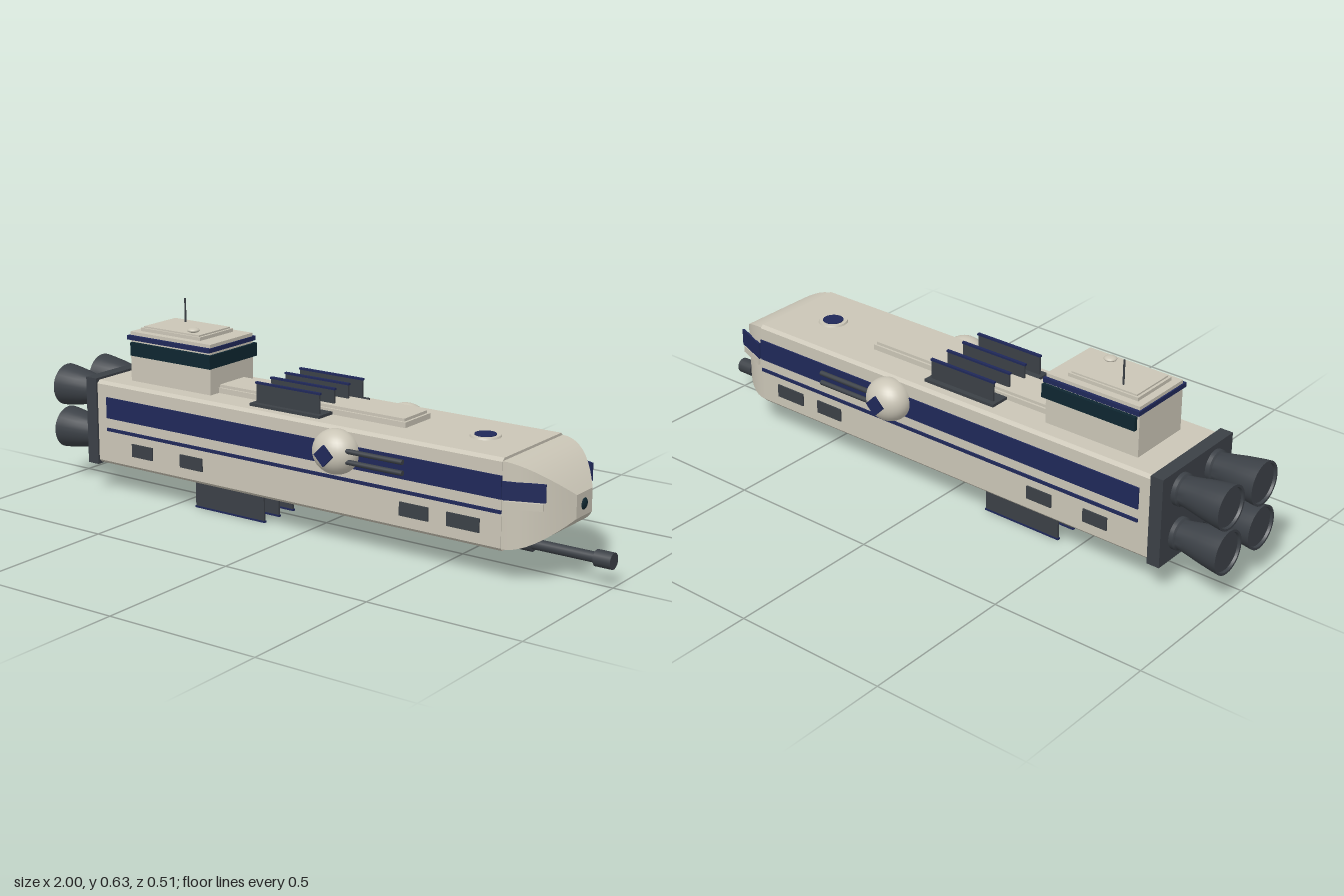
import * as THREE from 'three';
import { toCreasedNormals } from 'three/addons/utils/BufferGeometryUtils.js';

const mat = (name, color, side = THREE.FrontSide) => {
  const m = new THREE.MeshStandardMaterial({ color, side });
  m.name = name;
  return m;
};

export function createModel() {
  const hullMat = mat('warm grey hull', 0xcac5b6);
  const darkMat = mat('dark metal', 0x3b4046);
  const blueMat = mat('navy trim', 0x1f2859);
  const glassMat = mat('dark glass', 0x0e2630);
  const ship = new THREE.Group();
  ship.name = 'spaceship';

  const add = (name, geo, material, x = 0, y = 0, z = 0) => {
    const m = new THREE.Mesh(geo, material);
    m.name = name;
    m.position.set(x, y, z);
    ship.add(m);
    return m;
  };
  // Box given by its limits on each axis
  const box = (name, material, x0, x1, y0, y1, z0, z1) =>
    add(name, new THREE.BoxGeometry(x1 - x0, y1 - y0, z1 - z0), material,
      (x0 + x1) / 2, (y0 + y1) / 2, (z0 + z1) / 2);
  // Cylinder lying along x
  const rod = (name, material, x0, x1, y, z, r, sides = 20) =>
    add(name, new THREE.CylinderGeometry(r, r, x1 - x0, sides).rotateZ(-Math.PI / 2), material, (x0 + x1) / 2, y, z);

  // Main hull: chamfered rectangle extruded lengthwise
  const c = 0.01, hw = 0.17, y0 = 0.1, y1 = 0.375;
  const section = new THREE.Shape([
    [-hw + c, y0], [hw - c, y0], [hw, y0 + c], [hw, y1 - c],
    [hw - c, y1], [-hw + c, y1], [-hw, y1 - c], [-hw, y0 + c],
  ].map(([a, b]) => new THREE.Vector2(a, b)));
  const hullGeo = new THREE.ExtrudeGeometry(section, { depth: 1.53, bevelEnabled: false });
  add('hull', hullGeo.rotateY(Math.PI / 2), hullMat, -0.8);

  // Nose: rectangular sections shrinking along a parabola
  const steps = 10, rings = [];
  for (let i = 0; i <= steps; i++) {
    const t = i / steps, k = t * t, x = 0.73 + 0.17 * t;
    const w = THREE.MathUtils.lerp(0.168, 0.045, k);
    const lo = THREE.MathUtils.lerp(0.108, 0.197, k), hi = THREE.MathUtils.lerp(0.367, 0.268, k);
    rings.push([[x, lo, w], [x, lo, -w], [x, hi, -w], [x, hi, w]]);
  }
  const pos = [];
  const quad = (a, b, d, e) => pos.push(...a, ...b, ...d, ...a, ...d, ...e);
  for (let i = 0; i < steps; i++) {
    for (let j = 0; j < 4; j++) {
      const n = (j + 1) % 4;
      quad(rings[i][j], rings[i][n], rings[i + 1][n], rings[i + 1][j]);
    }
  }
  quad(...rings[steps]);
  const noseGeo = new THREE.BufferGeometry();
  noseGeo.setAttribute('position', new THREE.Float32BufferAttribute(pos, 3));
  add('nose', toCreasedNormals(noseGeo, 0.6), hullMat);
  add('noseSensor', new THREE.SphereGeometry(0.027, 24, 16), glassMat, 0.88, 0.232, 0);

  for (const s of [1, -1]) {
    const side = s > 0 ? 'left' : 'right';
    // Side stripes and vents
    const strip = (name, m, xa, xb, ya, yb) => {
      add(name, new THREE.BoxGeometry(xb - xa, yb - ya, 0.008), m, (xa + xb) / 2, (ya + yb) / 2, s * 0.171);
    };
    strip(side + 'WideStripe', blueMat, -0.75, 0.73, 0.256, 0.325);
    strip(side + 'ThinStripe', blueMat, -0.75, 0.73, 0.213, 0.223);
    for (const [a, b] of [[-0.645, -0.56], [-0.445, -0.355], [0.387, 0.487], [0.55, 0.66]]) {
      strip(side + 'Vent', darkMat, a, b, 0.144, 0.186);
    }
    // Angled plates beside the nose
    const cheek = add(side + 'CheekPanel', new THREE.BoxGeometry(0.125, 0.054, 0.007), blueMat, 0.792, 0.284, s * 0.154);
    const lip = add(side + 'CheekLip', new THREE.BoxGeometry(0.11, 0.022, 0.007), hullMat, 0.792, 0.243, s * 0.154);
    cheek.rotation.y = lip.rotation.y = s * 0.36;

    // Side turret with twin guns and a diamond cap
    add(side + 'Turret', new THREE.SphereGeometry(1, 32, 20).scale(0.076, 0.069, 0.062), hullMat, 0.17, 0.304, s * 0.186);
    const cap = new THREE.CylinderGeometry(0.033, 0.033, 0.008, 4).rotateX(Math.PI / 2);
    add(side + 'TurretCap', cap, blueMat, 0.17, 0.305, s * 0.25);
    for (const y of [0.321, 0.288]) rod(side + 'TurretGun', darkMat, 0.17, 0.425, y, s * 0.214, 0.008, 12);

    // Engine nozzles
    const bell = [[0, 0.805], [0.05, 0.805], [0.05, 0.845], [0.044, 0.85], [0.049, 0.88], [0.058, 0.925],
      [0.066, 0.975], [0.069, 1], [0.062, 1], [0.06, 0.992], [0, 0.992]]
      .map(([r, h]) => new THREE.Vector2(r, h));
    for (const y of [0.315, 0.17]) {
      const g = toCreasedNormals(new THREE.LatheGeometry(bell, 28), 0.5).rotateZ(Math.PI / 2);
      add(side + 'Engine', g, darkMat, 0, y, s * 0.086);
    }
  }

  // Engine bulkhead
  box('engineBulkhead', darkMat, -0.832, -0.79, 0.095, 0.382, -0.177, 0.177);

  // Raised deck slab
  const deck = new THREE.Group();
  deck.name = 'raisedDeck';
  ship.add(deck);
  deck.add(box('deckBase', hullMat, -0.4, 0.335, 0.37, 0.392, -0.067, 0.067));
  deck.add(box('deckTop', hullMat, -0.4, 0.327, 0.39, 0.401, -0.06, 0.06));

  // Forward hatch
  add('hatchRim', new THREE.CylinderGeometry(0.045, 0.048, 0.007, 24), hullMat, 0.57, 0.377, 0);
  add('hatchCover', new THREE.CylinderGeometry(0.033, 0.033, 0.008, 24), blueMat, 0.57, 0.379, 0);

  // Bridge tower with window band and trim
  box('bridgeTower', hullMat, -0.698, -0.37, 0.37, 0.537, -0.107, 0.107);
  box('bridgeWindows', glassMat, -0.69, -0.362, 0.461, 0.504, -0.119, 0.119);
  box('bridgeTrim', blueMat, -0.703, -0.366, 0.512, 0.526, -0.118, 0.118);
  box('bridgeRoof', hullMat, -0.674, -0.43, 0.536, 0.548, -0.083, 0.083);
  box('bridgeRoofTop', hullMat, -0.666, -0.438, 0.547, 0.553, -0.077, 0.077);
  add('sensorDome', new THREE.SphereGeometry(1, 20, 12).scale(0.02, 0.008, 0.02), hullMat, -0.483, 0.559, 0.05);
  add('antenna', new THREE.CylinderGeometry(0.003, 0.003, 0.082, 8), darkMat, -0.6, 0.59, -0.05);

  // Radiator fins above and below, edged in navy
  const radiator = (name, xa, xb, base, tip) => {
    const d = Math.sign(tip - base);
    const span = (a, b) => [Math.min(a, b), Math.max(a, b)];
    box(name + 'Base', darkMat, xa - 0.013, xb + 0.013, ...span(base - d * 0.005, base + d * 0.009), -0.133, 0.133);
    for (const z of [-0.112, -0.037, 0.037, 0.112]) {
      box(name + 'Fin', darkMat, xa, xb, ...span(base, tip - d * 0.004), z - 0.0035, z + 0.0035);
      box(name + 'FinEdge', blueMat, xa - 0.003, xb + 0.003, ...span(tip - d * 0.006, tip), z - 0.005, z + 0.005);
    }
  };
  radiator('topRadiator', -0.182, 0.057, 0.375, 0.449);
  radiator('bellyRadiator', -0.43, -0.157, 0.1, 0);

  // Belly cannon
  box('cannonMount', darkMat, 0.323, 0.605, 0.062, 0.105, -0.047, 0.047);
  rod('cannonBreech', darkMat, 0.6, 0.74, 0.08, 0, 0.024);
  rod('cannonBarrel', darkMat, 0.72, 0.96, 0.08, 0, 0.016);
  rod('cannonMuzzle', darkMat, 0.945, 1, 0.08, 0, 0.025);

  return ship;
}
